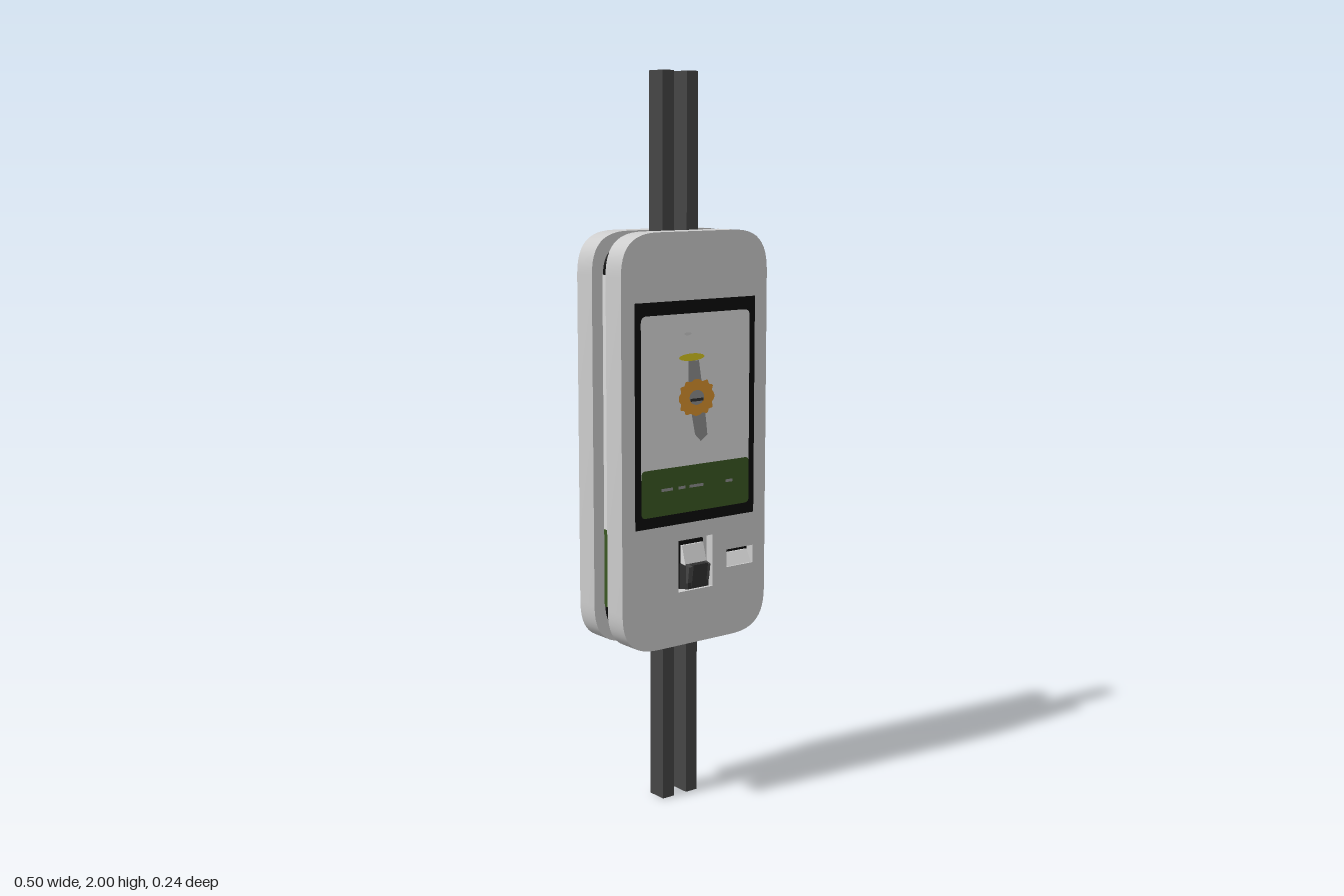
import * as THREE from 'three';
import { toCreasedNormals } from 'three/addons/utils/BufferGeometryUtils.js';

const paint = (name, color) => new THREE.MeshStandardMaterial({ name, color });
const M = {
  casing: paint('casing grey', 0xcccccc),
  black: paint('black', 0x0b0b0b),
  pole: paint('pole grey', 0x454545),
  white: paint('display white', 0xdadada),
  green: paint('banner green', 0x3a5722),
  orange: paint('orange', 0xd9922e),
  yellow: paint('yellow', 0xd6c51f),
  grey: paint('picture grey', 0x8e8e8e),
  reader: paint('reader dark grey', 0x303030),
};

const FACE = 0.0975;  // front of each shell
const GAP = 0.0305;   // half of the space between the shells
const MID = 1.022;    // middle height of the casing

function add(parent, name, geometry, material, x = 0, y = 0, z = 0) {
  const mesh = new THREE.Mesh(geometry, material);
  mesh.name = name;
  mesh.position.set(x, y, z);
  parent.add(mesh);
  return mesh;
}

// Box given by its limits
function block(parent, name, material, x0, x1, y0, y1, z0, z1) {
  return add(parent, name, new THREE.BoxGeometry(x1 - x0, y1 - y0, z1 - z0), material,
    (x0 + x1) / 2, (y0 + y1) / 2, (z0 + z1) / 2);
}

// Rectangle with softly swelling corners; cx, cy are the corner lengths
function softRect(w, h, cx, cy, y = 0) {
  const s = new THREE.Shape();
  const k = 0.3; // how far the handles stay from the corner
  s.moveTo(w, y - h + cy);
  s.lineTo(w, y + h - cy);
  s.bezierCurveTo(w, y + h - cy * k, w - cx * k, y + h, w - cx, y + h);
  s.lineTo(-w + cx, y + h);
  s.bezierCurveTo(-w + cx * k, y + h, -w, y + h - cy * k, -w, y + h - cy);
  s.lineTo(-w, y - h + cy);
  s.bezierCurveTo(-w, y - h + cy * k, -w + cx * k, y - h, -w + cx, y - h);
  s.lineTo(w - cx, y - h);
  s.bezierCurveTo(w - cx * k, y - h, w, y - h + cy * k, w, y - h + cy);
  return s;
}

function rectHole(x0, x1, y0, y1) {
  return new THREE.Path([[x0, y0], [x0, y1], [x1, y1], [x1, y0]].map(p => new THREE.Vector2(...p)));
}

function extrude(shape, depth) {
  return toCreasedNormals(
    new THREE.ExtrudeGeometry(shape, { depth, bevelEnabled: false, curveSegments: 12 }), 0.5);
}

// Box whose outer face is narrowed, for the reader
function taperedBox(w, h, d, sx, sy) {
  const g = new THREE.BoxGeometry(w, h, d).toNonIndexed();
  const p = g.attributes.position;
  for (let i = 0; i < p.count; i++) {
    if (p.getZ(i) > 0) p.setXY(i, p.getX(i) * sx, p.getY(i) * sy);
  }
  g.computeVertexNormals();
  return g;
}

// Solid with a side profile of [z, y] points, spanning x0 to x1
function sideProfile(parent, name, material, points, x0, x1) {
  const shape = new THREE.Shape(points.map(([z, y]) => new THREE.Vector2(-z, y)));
  const g = new THREE.ExtrudeGeometry(shape, { depth: x1 - x0, bevelEnabled: false });
  g.rotateY(Math.PI / 2);
  return add(parent, name, g, material, x0, 0, 0);
}

function screen(parent) {
  const g = new THREE.Group();
  g.name = 'screen';
  parent.add(g);
  block(g, 'screenFrame', M.black, -0.205, 0.205, 0.8, 1.402, FACE - 0.004, FACE + 0.001);
  const plate = (name, shape, material, layer) =>
    add(g, name, new THREE.ShapeGeometry(shape, 16), material, 0, 0, FACE + 0.001 + layer * 0.0007);
  plate('display', softRect(0.186, 0.268, 0.02, 0.02, 1.099), M.white, 1);
  plate('banner', softRect(0.186, 0.064, 0.015, 0.015, 0.894), M.green, 2);

  // Picture: leaning stick, scalloped disc and flat cap
  const stick = new THREE.Shape([[-0.028, 1.24], [-0.028, 1.15], [-0.005, 1.04], [0.015, 1.02],
    [0.038, 1.035], [0.03, 1.1], [0.008, 1.24]].map(p => new THREE.Vector2(...p)));
  plate('pictureStick', stick, M.grey, 2);
  const scallops = [];
  for (let i = 0; i < 96; i++) {
    const a = i / 96 * Math.PI * 2;
    const r = 1 + 0.06 * Math.cos(a * 12);
    const c = Math.cos(a), s = Math.sin(a);
    scallops.push(new THREE.Vector2(0.058 * r * Math.sign(c) * Math.abs(c) ** 0.75,
      1.14 + 0.047 * r * Math.sign(s) * Math.abs(s) ** 0.75));
  }
  plate('pictureDisc', new THREE.Shape(scallops), M.orange, 3);
  plate('pictureDiscCentre', new THREE.Shape().absellipse(0, 1.14, 0.025, 0.02, 0, Math.PI * 2), M.grey, 4);
  plate('pictureDiscBar', softRect(0.022, 0.004, 0.002, 0.002, 1.134), M.reader, 5);
  plate('pictureCap', new THREE.Shape().absellipse(-0.017, 1.25, 0.043, 0.01, 0, Math.PI * 2), M.yellow, 3);
  plate('pictureSpeck', new THREE.Shape().absellipse(-0.03, 1.313, 0.012, 0.004, 0, Math.PI * 2), M.casing, 2);

  // Plain dashes on the banner
  for (const [x, w] of [[-0.1, 0.04], [-0.05, 0.025], [0, 0.05], [0.115, 0.025]]) {
    add(g, 'bannerDash', new THREE.PlaneGeometry(w, 0.008), M.grey, x, 0.9, FACE + 0.0031);
  }
}

function reader(parent) {
  const g = new THREE.Group();
  g.name = 'cardReader';
  parent.add(g);
  block(g, 'pocketFloor', M.casing, -0.06, 0.06, 0.61, 0.755, 0.06, 0.07);
  block(g, 'readerBack', M.black, -0.042, 0.042, 0.615, 0.745, 0.07, 0.078);
  sideProfile(g, 'readerPlate', M.white,
    [[0.07, 0.735], [0.084, 0.735], [0.1, 0.68], [0.07, 0.68]], -0.037, 0.037);
  add(g, 'readerBody', taperedBox(0.084, 0.074, 0.04, 0.85, 0.85), M.reader, 0, 0.649, 0.09);
  sideProfile(g, 'readerMouth', M.reader,
    [[0.09, 0.685], [0.1205, 0.685], [0.117, 0.66], [0.112, 0.625], [0.09, 0.612]], -0.025, 0.025);
  // Raised guides either side of the mouth
  for (const s of [-1, 1]) {
    const x = s * 0.031;
    sideProfile(g, 'readerGuide', M.pole,
      [[0.09, 0.688], [0.116, 0.68], [0.11, 0.635], [0.09, 0.63]], x - 0.006, x + 0.006);
  }
}

function ticketSlot(parent) {
  const g = new THREE.Group();
  g.name = 'ticketSlot';
  parent.add(g);
  block(g, 'slotOpening', M.black, 0.11, 0.205, 0.655, 0.705, 0.06, 0.07);
  sideProfile(g, 'slotTray', M.white,
    [[0.07, 0.69], [0.075, 0.69], [0.095, 0.656], [0.07, 0.656]], 0.114, 0.201);
}

// One complete face of the kiosk
function kioskFace() {
  const g = new THREE.Group();
  g.name = 'kioskFace';
  const outline = softRect(0.248, 0.561, 0.12, 0.115, MID);
  outline.holes.push(rectHole(-0.06, 0.06, 0.61, 0.755), rectHole(0.11, 0.205, 0.655, 0.705));
  add(g, 'shell', extrude(outline, FACE - GAP), M.casing, 0, 0, GAP);
  screen(g);
  reader(g);
  ticketSlot(g);
  return g;
}

export function createModel() {
  const model = new THREE.Group();
  model.name = 'doubleSidedKiosk';

  // Twin poles
  for (const s of [-1, 1]) {
    block(model, 'pole', M.pole, s * 0.041 - 0.019, s * 0.041 + 0.019, 0, 2, -0.029, 0.029);
  }

  // Core between the two shells
  add(model, 'core', extrude(softRect(0.212, 0.527, 0.09, 0.08, MID), GAP * 2), M.black, 0, 0, -GAP);

  // Coloured strips along both edges of the core
  for (const s of [-1, 1]) {
    const strip = (name, material, y0, y1, halfZ, out) =>
      block(model, name, material, s * 0.212 - 0.002 - out, s * 0.212 + 0.002 + out, y0, y1, -halfZ, halfZ);
    strip('edgeStripWhite', M.white, 0.785, 1.47, GAP, 0);
    strip('edgeStripGreen', M.green, 0.57, 0.785, GAP, 0);
    strip('edgeStripLine', M.black, 0.85, 1.13, 0.006, 0.001);
    strip('edgeStripDash', M.black, 1.16, 1.2, 0.006, 0.001);
    strip('edgeStripMark', M.grey, 0.66, 0.69, 0.015, 0.001);
  }

  // The same face on the front and the back
  const back = kioskFace();
  back.rotation.y = Math.PI;
  model.add(kioskFace(), back);
  return model;
}
